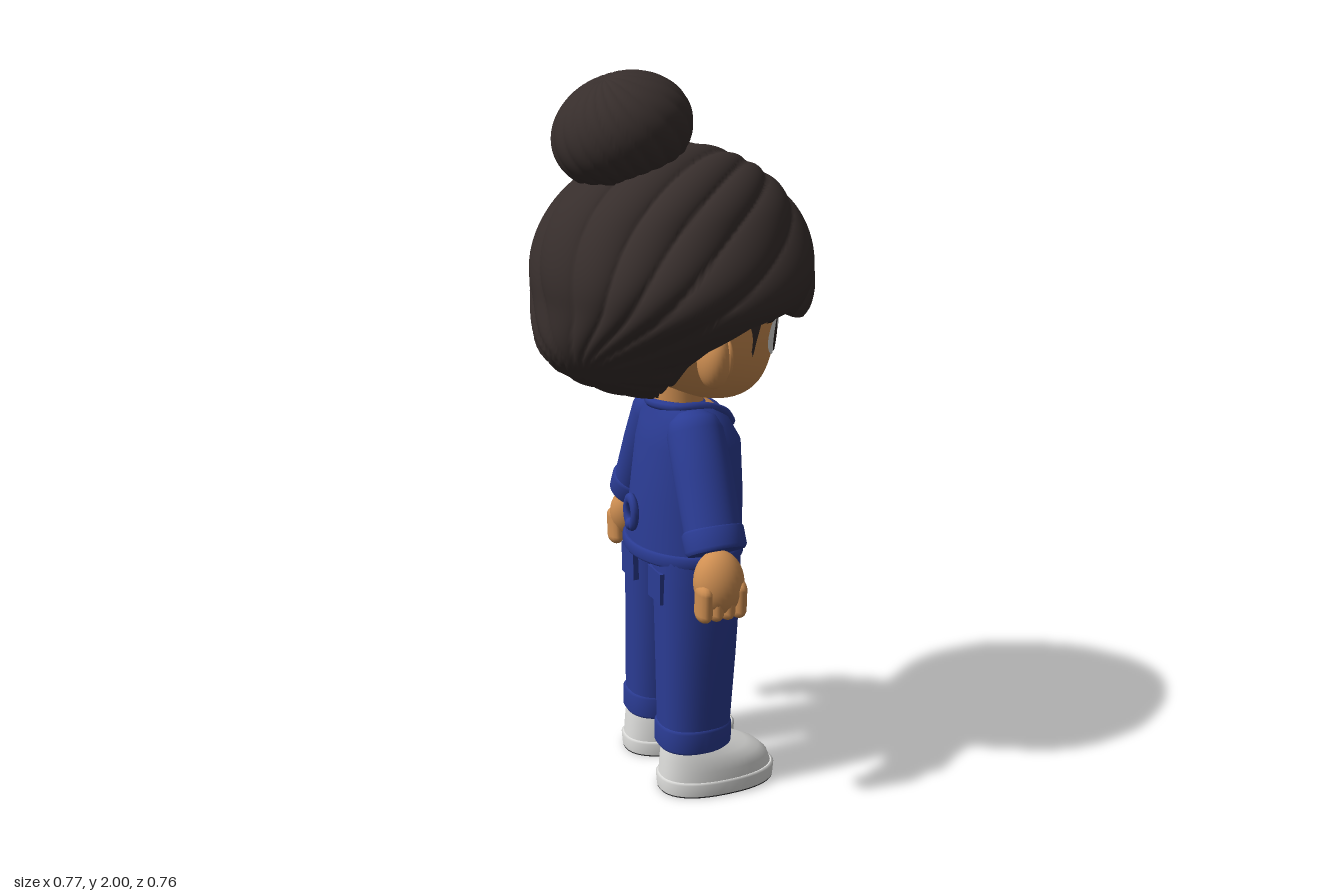
import * as THREE from 'three';

const mat = (name, color, side = THREE.FrontSide) => {
  const m = new THREE.MeshStandardMaterial({ color, side });
  m.name = name;
  return m;
};
const V = (x, y, z) => new THREE.Vector3(x, y, z);
const { lerp, smoothstep, clamp } = THREE.MathUtils;

// Surface closed in u (around), open in v (top to bottom), from a rule f(u, row)
function grid(nu, rows, f) {
  const pos = [], idx = [];
  for (let j = 0; j < rows; j++) for (let i = 0; i < nu; i++) pos.push(...f(i / nu, j));
  for (let j = 0; j < rows - 1; j++) for (let i = 0; i < nu; i++) {
    const k = (i + 1) % nu, a = j * nu + i, b = j * nu + k, c = a + nu, d = b + nu;
    idx.push(a, c, b, b, c, d);
  }
  const g = new THREE.BufferGeometry();
  g.setAttribute('position', new THREE.Float32BufferAttribute(pos, 3));
  g.setIndex(idx);
  g.computeVertexNormals();
  return g;
}

// Capped loft through oval sections [y, centreX, halfX, centreZ, halfZ], top to bottom
function loft(rows, p = 1) {
  const cap = (r) => [r[0], r[1], 0, r[3], 0], first = rows[0], last = rows[rows.length - 1];
  const all = [cap(first), first, ...rows, last, cap(last)];
  const pw = (t) => Math.sign(t) * Math.abs(t) ** p;
  return grid(40, all.length, (u, j) => {
    const [y, cx, hx, cz, hz] = all[j], a = u * Math.PI * 2;
    return [cx + hx * pw(Math.sin(a)), y, cz + hz * pw(Math.cos(a))];
  });
}

// Front surface of the face
const headZ = (x, y) => {
  const s = (1.36 - y) / 0.25;
  return 0.05 + 0.23 * Math.sqrt(Math.max(0, 1 - (x / 0.25) ** 2 - s * s)) + (s > 0 ? 0.08 * s * s : 0);
};

const TORSO = [
  [1.118, 0, 0.075, 0, 0.065], [1.1, 0, 0.13, 0.02, 0.085], [1.06, 0, 0.165, 0.035, 0.115],
  [1.0, 0, 0.178, 0.045, 0.14], [0.85, 0, 0.185, 0.04, 0.153], [0.72, 0, 0.2, 0.033, 0.156], [0.685, 0, 0.203, 0.033, 0.157],
];
// Front surface of the shirt
const torsoZ = (x, y) => {
  let i = 0;
  while (i < TORSO.length - 2 && TORSO[i + 1][0] > y) i++;
  const a = TORSO[i], b = TORSO[i + 1], t = (y - a[0]) / (b[0] - a[0]);
  return lerp(a[3], b[3], t) + lerp(a[4], b[4], t) * Math.sqrt(Math.max(0, 1 - (x / lerp(a[2], b[2], t)) ** 2));
};

// Lays a flat geometry onto a surface rule
function drape(g, surf, off) {
  const p = g.attributes.position;
  for (let i = 0; i < p.count; i++) p.setZ(i, p.getZ(i) + surf(p.getX(i), p.getY(i)) + off);
  g.computeVertexNormals();
  return g;
}
const disc = (x, y, rx, ry, off) =>
  drape(new THREE.RingGeometry(0.001, 1, 32, 6).scale(rx, ry, 1).translate(x, y, 0), headZ, off);
const tube = (pts, r, closed = false) =>
  new THREE.TubeGeometry(new THREE.CatmullRomCurve3(pts, closed), 40, r, 8, closed);

// Hairline height by angle from the face centre in degrees, nape at both ends
const EDGE = [[-181, 1.135], [-140, 1.138], [-120, 1.15], [-105, 1.21], [-95, 1.32], [-80, 1.385], [-60, 1.41], [-50, 1.375],
  [-40, 1.365], [-29, 1.385], [-16, 1.44], [-4, 1.5], [11, 1.585], [22, 1.53], [36, 1.45], [52, 1.39], [62, 1.37], [80, 1.375],
  [95, 1.32], [105, 1.21], [120, 1.15], [140, 1.138], [181, 1.135]];
function edgeAngle(deg) {
  const i = EDGE.findIndex((e) => e[0] > deg), a = EDGE[i - 1], b = EDGE[i];
  return Math.acos((lerp(a[1], b[1], (deg - a[0]) / (b[0] - a[0])) - 1.47) / 0.34);
}

// Hair cap with locks fanning out from the parting, fuller at the nape
function hairCap() {
  const N = 72, pole = V(0.13, 0.22, 0.22).normalize();
  const e1 = V(1, 0, 0).cross(pole).normalize(), e2 = pole.clone().cross(e1);
  const surface = (phi, th) => {
    const d = V(Math.sin(th) * Math.sin(phi), Math.cos(th), Math.sin(th) * Math.cos(phi));
    const away = Math.acos(clamp(d.dot(pole), -1, 1));
    const a = Math.atan2(d.dot(e2), d.dot(e1));
    const lock = Math.abs(Math.sin(8 * (a + 0.12 * Math.sin(3 * a)) + 0.8 * away)) ** 0.6;
    const r = 1.015 - 0.055 * (1 - lock) * Math.sin(away) - 0.06 * Math.exp(-((away / 0.18) ** 2));
    const y = 1.47 + 0.34 * d.y * r;
    const taper = 1 - 0.2 * smoothstep(1.44 - y, 0, 0.22) - 0.09 * smoothstep(y, 1.45, 1.65);
    const nape = 1 + 0.22 * smoothstep(1.44 - y, 0, 0.24) * smoothstep(-d.z, 0, 0.2);
    return V(0.38 * d.x * r * taper, y, 0.383 * d.z * r * nape);
  };
  return grid(320, N + 4, (u, j) => {
    const phi = u * Math.PI * 2, deg = u > 0.5 ? u * 360 - 360 : u * 360;
    const p = surface(phi, edgeAngle(deg) * Math.min(1, j / N));
    const fold = [0, 0, 0.35, 1][Math.max(0, j - N)];
    return p.lerp(V(0, 1.48, -0.03), fold).toArray();
  });
}

export function createModel() {
  const hair = mat('dark brown hair', 0x372e2c), skin = mat('skin', 0xcf8f52, THREE.DoubleSide);
  const blue = mat('blue cloth', 0x2b3c94), white = mat('white', 0xdededc);
  const dark = mat('eye dark', 0x2a2220), lips = mat('lip brown', 0x8a4f2c), rubber = mat('dark rubber', 0x2c2c2e);
  const body = new THREE.Group();
  body.name = 'figure';
  const add = (name, geo, m, x = 0, y = 0, z = 0) => {
    const mesh = new THREE.Mesh(geo, m);
    mesh.name = name;
    mesh.position.set(x, y, z);
    body.add(mesh);
    return mesh;
  };
  const ball = (name, m, x, y, z, rx, ry, rz) =>
    add(name, new THREE.SphereGeometry(1, 28, 20).scale(rx, ry, rz), m, x, y, z);

  // Head with the jaw pushed forward
  const head = new THREE.SphereGeometry(1, 48, 36), hp = head.attributes.position;
  for (let i = 0; i < hp.count; i++) {
    const s = -hp.getY(i);
    hp.setXYZ(i, hp.getX(i) * 0.25, 1.36 - s * 0.25, 0.05 + hp.getZ(i) * 0.23 + (s > 0 ? 0.08 * s * s : 0));
  }
  head.computeVertexNormals();
  add('head', head, skin);
  add('neck', new THREE.CylinderGeometry(0.072, 0.08, 0.16, 28), skin, 0, 1.1, 0.01);
  ball('nose', skin, 0, 1.24, 0.27, 0.022, 0.018, 0.032);
  const onFace = (x, y) => V(x, y, headZ(x, y) + 0.002);
  add('mouth', tube([onFace(-0.045, 1.2), onFace(-0.022, 1.188), onFace(0.022, 1.188), onFace(0.045, 1.2)], 0.004), lips);

  // Hair cap and bun
  add('hair', hairCap(), hair);
  const bun = add('bun', grid(220, 41, (u, j) => {
    const a = u * Math.PI * 2, th = (j / 40) * Math.PI, tw = a + 0.3 * Math.cos(th);
    const r = 1.01 - 0.035 * (1 - Math.abs(Math.sin(11 * tw + Math.sin(3 * a))) ** 0.6) * Math.sin(th)
      - 0.06 * Math.exp(-((th / 0.2) ** 2));
    return [0.187 * r * Math.sin(th) * Math.sin(a), 0.146 * r * Math.cos(th), 0.187 * r * Math.sin(th) * Math.cos(a)];
  }), hair, 0, 1.851, -0.143);
  bun.rotation.x = -0.35;

  // Shirt
  add('shirt', loft(TORSO), blue);
  add('shirtHem', loft([[0.715, 0, 0.2, 0.03, 0.157], [0.708, 0, 0.208, 0.03, 0.163], [0.685, 0, 0.208, 0.03, 0.163], [0.678, 0, 0.202, 0.03, 0.158]]), blue);
  const neckline = new THREE.PlaneGeometry(2, 1, 8, 8), np = neckline.attributes.position;
  for (let i = 0; i < np.count; i++) {
    const v = np.getY(i) + 0.5;
    np.setXY(i, np.getX(i) * 0.075 * v, 1.03 + 0.08 * v);
  }
  add('neckOpening', drape(neckline, torsoZ, 0.004), skin);
  const c = (x, y) => V(x, y, torsoZ(x, y) + 0.004);
  add('collar', tube([c(0, 1.026), c(0.045, 1.07), V(0.085, 1.106, 0.06), V(0.085, 1.112, -0.02), V(0, 1.112, -0.065),
    V(-0.085, 1.112, -0.02), V(-0.085, 1.106, 0.06), c(-0.045, 1.07)], 0.014, true), blue);

  // Chest pocket, badge and back tie
  const pocket = new THREE.Shape().moveTo(-0.06, 0.07).lineTo(-0.06, -0.04).quadraticCurveTo(-0.06, -0.07, -0.03, -0.07)
    .lineTo(0.03, -0.07).quadraticCurveTo(0.06, -0.07, 0.06, -0.04).lineTo(0.06, 0.07);
  const pg = new THREE.ExtrudeGeometry(pocket, { depth: 0.014, bevelEnabled: true, bevelSize: 0.004, bevelThickness: 0.004, bevelSegments: 2 });
  add('chestPocket', drape(pg.translate(0.095, 0.905, 0), torsoZ, -0.005), blue);
  add('badge', drape(new THREE.BoxGeometry(0.1, 0.052, 0.02, 6, 1, 1).translate(0.1, 0.972, 0), torsoZ, 0.014), white);
  const tie = add('backTie', new THREE.TorusGeometry(0.028, 0.012, 10, 24), blue, 0, 0.8, -0.126);
  tie.scale.y = 1.4;
  add('backTieKnot', new THREE.SphereGeometry(0.018, 16, 12), blue, 0, 0.765, -0.126);

  // Seat of the trousers
  add('trouserSeat', loft([[0.72, 0, 0.19, 0.03, 0.135], [0.67, 0, 0.197, 0.03, 0.13], [0.65, 0, 0.13, 0.03, 0.1]]), blue);

  for (const s of [-1, 1]) {
    // Ear, eye, lashes, brow and sideburns
    const ear = ball('ear', skin, s * 0.262, 1.285, 0.005, 0.058, 0.08, 0.042);
    ear.rotation.z = -s * 0.2;
    const rim = add('earRim', new THREE.TorusGeometry(0.034, 0.009, 10, 24).scale(1, 1.4, 1), skin, s * 0.272, 1.29, 0.03);
    rim.rotation.z = -s * 0.2;
    add('eyeWhite', disc(s * 0.122, 1.312, 0.073, 0.064, 0.004), white);
    add('iris', disc(s * 0.127, 1.312, 0.043, 0.056, 0.007), dark);
    add('eyeShine', disc(s * 0.127 - 0.018, 1.335, 0.013, 0.017, 0.009), white);
    add('upperLash', tube([[0.045, 1.335], [0.085, 1.37], [0.135, 1.377], [0.18, 1.356], [0.21, 1.36]].map(([x, y]) => onFace(s * x, y)), 0.006), dark);
    add('brow', tube([[0.07, 1.42], [0.11, 1.437], [0.155, 1.43]].map(([x, y]) => onFace(s * x, y)), 0.011), hair);
    [[0.222, 0.135, 1.365, 0.19, 0.06], [0.24, 0.05, 1.385, 0.13, 0.06]].forEach(([x, z, y, h, r]) => {
      const lock = add('sideburn', new THREE.ConeGeometry(r, h, 20).scale(0.5, 1, 1), hair, s * x, y, z);
      lock.rotation.set(Math.PI, s * 0.35, 0);
    });

    // Sleeve with turned cuff
    const sleeve = new THREE.Group();
    sleeve.name = 'sleeve';
    sleeve.position.set(s * 0.125, 1.05, 0.012);
    sleeve.rotation.z = s * 0.5;
    const parts = [
      ['sleeveCloth', [[0.055, 0, 0.03, 0, 0.04], [0.035, 0, 0.06, 0, 0.065], [0, 0, 0.076, 0, 0.078], [-0.12, 0, 0.077, 0, 0.082], [-0.32, 0, 0.068, -0.005, 0.079]]],
      ['sleeveCuff', [[-0.265, 0, 0.068, -0.005, 0.079], [-0.272, 0, 0.075, -0.005, 0.086], [-0.32, 0, 0.075, -0.005, 0.086], [-0.33, 0, 0.068, -0.005, 0.08]]],
    ];
    for (const [name, rows] of parts) {
      const m = new THREE.Mesh(loft(rows), blue);
      m.name = name;
      sleeve.add(m);
    }
    body.add(sleeve);

    // Loose fist
    const palm = ball('palm', skin, s * 0.31, 0.685, 0.002, 0.058, 0.088, 0.071);
    palm.rotation.z = s * 0.2;
    for (let i = 0; i < 4; i++) {
      const f = add('finger', new THREE.CapsuleGeometry(0.026, 0.06, 6, 14).scale(1.4, 1, 0.85), skin, s * 0.326, 0.64, 0.05 - i * 0.033);
      f.rotation.z = -s * 0.05;
    }
    const thumb = add('thumb', new THREE.CapsuleGeometry(0.025, 0.06, 6, 14), skin, s * 0.278, 0.658, 0.052);
    thumb.rotation.z = s * 0.15;

    // Trouser leg, cuff and back pocket
    add('trouserLeg', loft([[0.71, s * 0.095, 0.097, 0.03, 0.125], [0.62, s * 0.106, 0.102, 0.028, 0.122], [0.4, s * 0.115, 0.1, 0.02, 0.112], [0.14, s * 0.122, 0.092, 0.01, 0.1]], 0.85), blue);
    add('trouserCuff', loft([[0.2, s * 0.122, 0.092, 0.01, 0.1], [0.193, s * 0.122, 0.098, 0.01, 0.107], [0.138, s * 0.122, 0.098, 0.01, 0.107], [0.13, s * 0.122, 0.093, 0.01, 0.102]], 0.85), blue);
    add('backPocket', new THREE.BoxGeometry(0.09, 0.09, 0.02), blue, s * 0.1, 0.615, -0.089);

    // Shoe
    const x = s * 0.135;
    add('shoeUpper', loft([[0.155, x, 0.066, 0, 0.083], [0.14, x, 0.074, 0.015, 0.1], [0.12, x, 0.085, 0.038, 0.126], [0.1, x, 0.092, 0.057, 0.147], [0.075, x, 0.098, 0.069, 0.161], [0.035, x, 0.1, 0.075, 0.17]], 0.88), white);
    add('shoeSole', loft([[0.045, x, 0.1, 0.075, 0.17], [0.04, x, 0.106, 0.075, 0.176], [0.004, x, 0.104, 0.075, 0.173]], 0.85), white);
    add('shoeTread', loft([[0.005, x, 0.103, 0.075, 0.172], [0, x, 0.103, 0.075, 0.172]], 0.85), rubber);
    [[0.1, 0.138], [0.132, 0.125]].forEach(([z, y]) =>
      add('shoeStrap', tube([V(x - 0.068, y - 0.035, z), V(x - 0.03, y - 0.008, z), V(x + 0.03, y - 0.008, z), V(x + 0.068, y - 0.035, z)], 0.011), white));
  }

  // Turn the figure to face +x
  body.rotation.y = Math.PI / 2;
  const model = new THREE.Group();
  model.add(body);
  return model;
}
